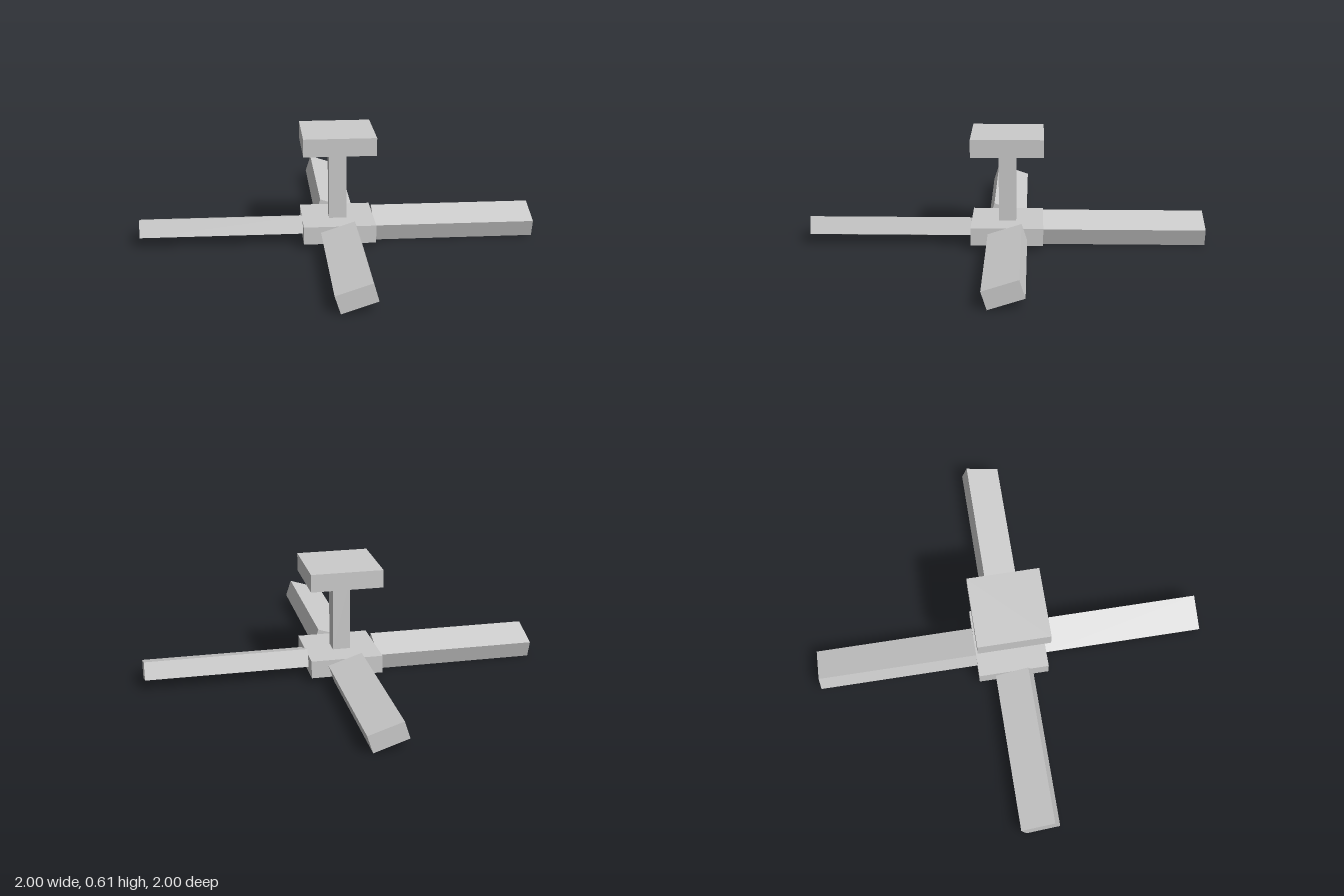
import * as THREE from 'three';

const material = new THREE.MeshStandardMaterial({ color: 0xcccccc, flatShading: true });

function box(name, width, height, depth, x, y, z) {
  const mesh = new THREE.Mesh(new THREE.BoxGeometry(width, height, depth), material);
  mesh.name = name;
  mesh.position.set(x, y, z);
  return mesh;
}

export function createModel() {
  const fan = new THREE.Group();
  fan.name = 'ceilingFan';

  const plate = 0.387;      // side of the hub and ceiling mount
  const thickness = 0.096;
  const hubY = 0.075;
  const mountY = 0.558;
  const bladeLength = 0.872;

  // Hub, rod and ceiling mount
  fan.add(box('hub', plate, thickness, plate, 0, hubY, 0));
  const rodBottom = hubY + thickness / 2;
  const rodTop = mountY - thickness / 2;
  fan.add(box('rod', 0.094, rodTop - rodBottom, 0.094, 0, (rodBottom + rodTop) / 2, 0));
  fan.add(box('ceilingMount', plate, thickness, plate, 0, mountY, 0));

  // Four pitched blades, one from each side of the hub
  for (let i = 0; i < 4; i++) {
    const arm = new THREE.Group();
    arm.name = `bladeArm${i + 1}`;
    arm.rotation.y = i * Math.PI / 2;
    const blade = box('blade', bladeLength, thickness, 0.19, plate / 2 + bladeLength / 2, hubY, -0.003);
    blade.rotation.x = THREE.MathUtils.degToRad(18);
    arm.add(blade);
    fan.add(arm);
  }

  // The whole fan is turned about its rod
  fan.rotation.y = THREE.MathUtils.degToRad(-27);

  const model = new THREE.Group();
  model.name = 'model';
  model.add(fan);
  return model;
}
